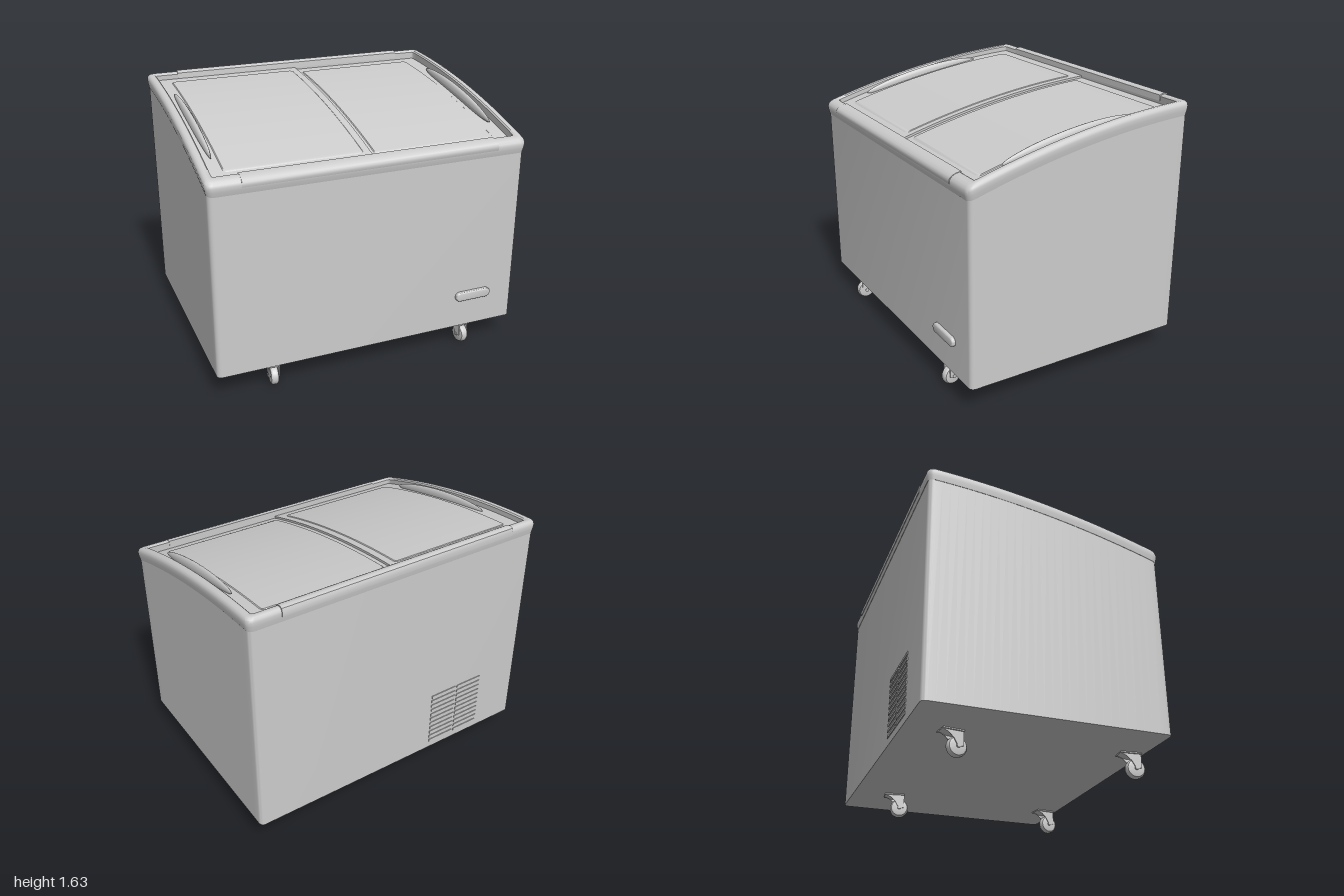
import * as THREE from 'three';
import { toCreasedNormals } from 'three/addons/utils/BufferGeometryUtils.js';

// Height of the curved top edge of the cabinet at depth z
const crown = (z) => 1.457 - 0.1744 * z - 0.0933 * z * z;
const above = (h) => (z) => crown(z) + h;

// Rounded rectangle loop in x/z, right half front-to-back, then left half back-to-front
function ring(x0, x1, z0, z1, r) {
  const right = [], arc = 6, steps = 28;
  for (let i = 0; i <= arc; i++) {
    const a = (Math.PI / 2) * (1 - i / arc);
    right.push([x1 - r + r * Math.cos(a), z1 - r + r * Math.sin(a)]);
  }
  for (let i = 1; i < steps; i++) right.push([x1, z1 - r + (z0 - z1 + 2 * r) * (i / steps)]);
  for (let i = 0; i <= arc; i++) {
    const a = -(Math.PI / 2) * (i / arc);
    right.push([x1 - r + r * Math.cos(a), z0 + r + r * Math.sin(a)]);
  }
  return right.concat(right.map(([x, z]) => [x0 + x1 - x, z]).reverse());
}

// Skin over a list of [loop, heightRule] sections, with optional end caps
function loft(sections, capBottom, capTop) {
  const n = sections[0][0].length, pos = [], idx = [];
  for (const [loop, y] of sections) for (const [x, z] of loop) pos.push(x, y(z), z);
  const quad = (a, b, c, d) => idx.push(a, b, c, a, c, d);
  for (let s = 0; s < sections.length - 1; s++) {
    for (let i = 0; i < n; i++) {
      const j = (i + 1) % n, o = s * n;
      quad(o + i, o + j, o + n + j, o + n + i);
    }
  }
  const top = (sections.length - 1) * n;
  for (let i = 0; i < n / 2 - 1; i++) {
    if (capTop) quad(top + i, top + i + 1, top + n - 2 - i, top + n - 1 - i);
    if (capBottom) quad(i, n - 1 - i, n - 2 - i, i + 1);
  }
  const g = new THREE.BufferGeometry();
  g.setAttribute('position', new THREE.Float32BufferAttribute(pos, 3));
  g.setIndex(idx);
  return toCreasedNormals(g, 0.6);
}

// Extrude a z/y outline along x, centred on x = 0
function sideExtrude(points, width) {
  const shape = new THREE.Shape(points.map(([z, y]) => new THREE.Vector2(-z, y)));
  const g = new THREE.ExtrudeGeometry(shape, { depth: width, bevelEnabled: false });
  g.translate(0, 0, -width / 2);
  g.rotateY(Math.PI / 2);
  return toCreasedNormals(g, 0.6);
}

// Rounded bar lying in the x/y plane, raised along z
function slotBar(w, h, depth, bevel) {
  const r = h / 2 - bevel, a = w / 2 - h / 2;
  const shape = new THREE.Shape();
  shape.absarc(a, 0, r, -Math.PI / 2, Math.PI / 2, false);
  shape.absarc(-a, 0, r, Math.PI / 2, Math.PI * 1.5, false);
  const g = new THREE.ExtrudeGeometry(shape, {
    depth, bevelEnabled: bevel > 0, bevelSize: bevel, bevelThickness: bevel, bevelSegments: 3, curveSegments: 8,
  });
  return toCreasedNormals(g, 0.6);
}

export function createModel() {
  const model = new THREE.Group();
  model.name = 'chestFreezer';
  const grey = new THREE.MeshStandardMaterial({ color: 0xcccccc });
  grey.name = 'light grey';
  const add = (name, geometry, parent = model) => {
    const m = new THREE.Mesh(geometry, grey);
    m.name = name;
    parent.add(m);
    return m;
  };

  // Cabinet with rounded upright edges and a curved top
  const wall = ring(-0.99, 0.99, -0.735, 0.722, 0.03);
  add('cabinet', loft([[wall, () => 0.15], [wall, above(0.01)]], true, true));

  // Rim: profile of [outer-to-inner fraction, height above the crown]
  const outer = ring(-1, 1, -0.745, 0.735, 0.04);
  const inner = ring(-0.945, 0.945, -0.69, 0.662, 0.015);
  const blend = (t) => outer.map(([x, z], i) => [x + (inner[i][0] - x) * t, z + (inner[i][1] - z) * t]);
  const rimProfile = [[0.4, 0], [0.14, 0], [0.04, 0.03], [0, 0.055], [0.06, 0.07], [0.22, 0.08],
    [0.45, 0.085], [0.85, 0.082], [1, 0.074], [1, 0]];
  add('rim', loft(rimProfile.map(([t, h]) => [blend(t), above(h)])));

  // Centre trims clipped over the front and back rim
  add('frontTrim', sideExtrude([[0.66, 1.33], [0.73, 1.31], [0.738, 1.332], [0.737, 1.348],
    [0.728, 1.361], [0.71, 1.372], [0.69, 1.379], [0.66, 1.382]], 1.6));
  add('backTrim', sideExtrude([[-0.685, 1.58], [-0.687, 1.615], [-0.7, 1.623], [-0.725, 1.626],
    [-0.742, 1.618], [-0.749, 1.6], [-0.747, 1.57]], 1.6));

  // Two sliding lids, the left-hand one running over the other
  const lids = [
    { name: 'upperLid', x0: -0.944, x1: 0.025, g0: -0.86, g1: -0.02, h: 0.044 },
    { name: 'lowerLid', x0: 0.0, x1: 0.944, g0: 0.05, g1: 0.85, h: 0.03 },
  ];
  for (const { name, x0, x1, g0, g1, h } of lids) {
    const edge = ring(x0, x1, -0.689, 0.661, 0.006);
    add(name, loft([[edge, above(h - 0.014)], [edge, above(h)]], true, true));
    const pane = ring(g0, g1, -0.62, 0.59, 0.025);
    const face = ring(g0 + 0.005, g1 - 0.005, -0.615, 0.585, 0.02);
    add(name + 'Pane', loft([[pane, above(h)], [face, above(h + 0.004)]], false, true));
  }

  // Slim crescent grips following the lid curve
  for (const side of [-1, 1]) {
    const g = new THREE.SphereGeometry(1, 16, 32);
    g.rotateX(Math.PI / 2);
    const p = g.attributes.position;
    for (let i = 0; i < p.count; i++) {
      const u = p.getZ(i), z = 0.045 + u * 0.425;
      const lift = p.getY(i) * 0.04 + 0.052;
      p.setXYZ(i, side * 0.895 + p.getX(i) * 0.021, crown(z) + lift + 0.006 * u, z);
    }
    g.computeVertexNormals();
    add(side < 0 ? 'rightLidGrip' : 'leftLidGrip', g);
  }

  // Rounded badge plate low on the front
  add('frontPlate', slotBar(0.244, 0.06, 0.018, 0.008)).position.set(0.692, 0.365, 0.719);

  // Two columns of vent slats on the back
  const vents = new THREE.Group();
  vents.name = 'backVents';
  model.add(vents);
  const slat = new THREE.BoxGeometry(0.192, 0.018, 0.008);
  for (const x of [-0.578, -0.372]) {
    for (let i = 0; i < 11; i++) add('ventSlat', slat, vents).position.set(x, 0.205 + i * 0.036, -0.736);
  }

  // Swivel castors: plate, stem, two cheeks, hood and wheel
  const tyre = [[0, -0.025], [0.04, -0.025], [0.052, -0.022], [0.06, -0.01], [0.06, 0.01],
    [0.052, 0.022], [0.04, 0.025], [0, 0.025]];
  const wheel = toCreasedNormals(
    new THREE.LatheGeometry(tyre.map(([r, y]) => new THREE.Vector2(r, y)), 28).rotateZ(Math.PI / 2), 0.7);
  const cheek = sideExtrude([[0.03, 0.146], [0.03, 0.06], [0, 0.052], [-0.012, 0.07], [-0.03, 0.1],
    [-0.06, 0.128], [-0.1, 0.146]], 0.006);
  const hood = sideExtrude([[0.03, 0.146], [0.03, 0.128], [-0.052, 0.128], [-0.1, 0.146]], 0.06);
  const plate = new THREE.BoxGeometry(0.09, 0.008, 0.13);
  const axle = new THREE.CylinderGeometry(0.012, 0.012, 0.074, 14).rotateZ(Math.PI / 2);
  for (const [x, z, yaw] of [[0.655, 0.67, 0.12], [-0.635, 0.67, -0.1], [0.625, -0.43, -0.15], [-0.63, -0.43, 0.12]]) {
    const castor = new THREE.Group();
    castor.name = (z > 0 ? 'front' : 'back') + (x > 0 ? 'Left' : 'Right') + 'Castor';
    castor.position.set(x, 0, z);
    castor.rotation.y = yaw;
    model.add(castor);
    add('wheel', wheel, castor).position.y = 0.06;
    add('axle', axle, castor).position.y = 0.06;
    add('hood', hood, castor);
    add('mountPlate', plate, castor).position.set(0, 0.147, -0.035);
    for (const s of [-1, 1]) add('cheek', cheek, castor).position.x = s * 0.031;
  }
  return model;
}
